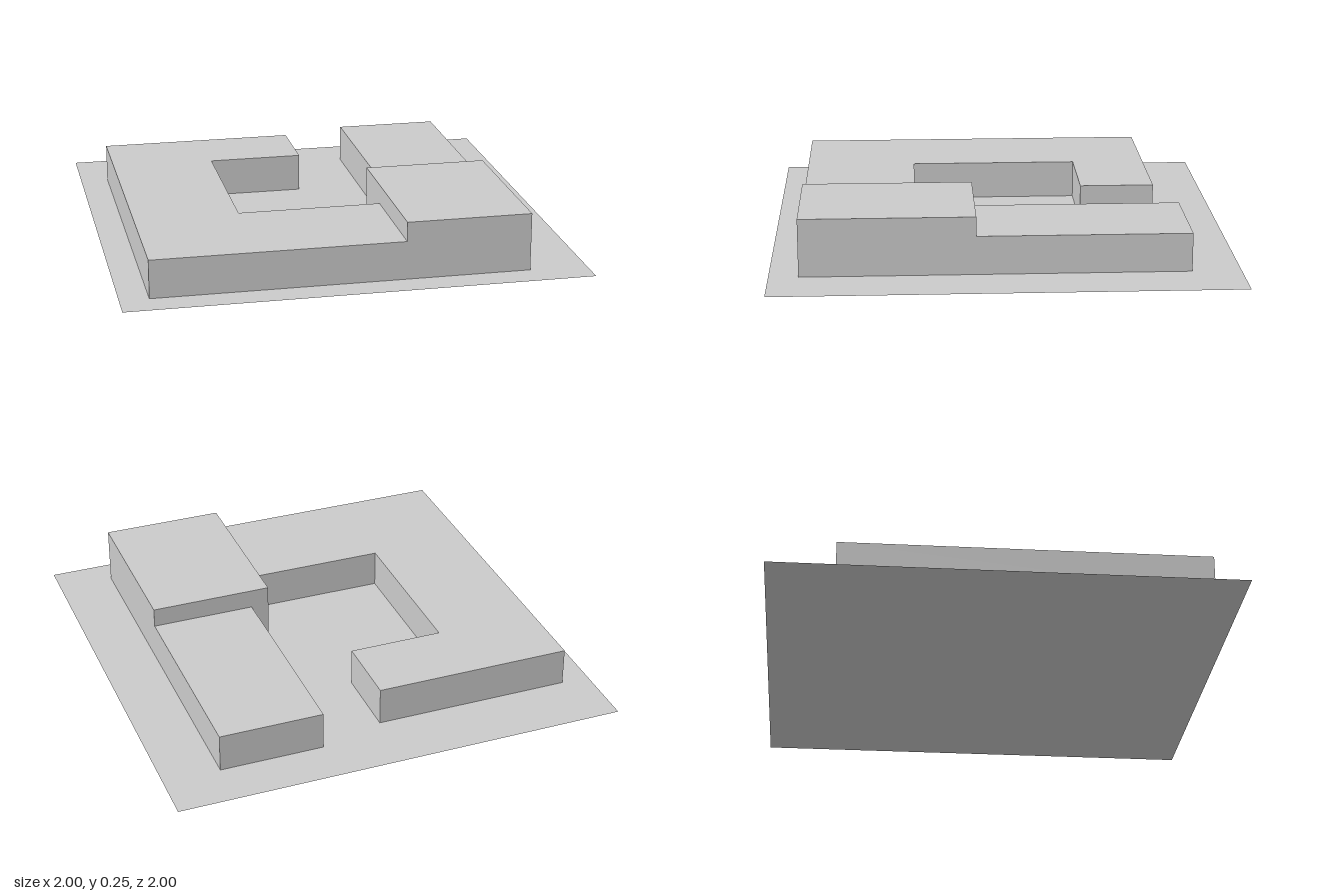
import * as THREE from 'three';

const material = new THREE.MeshStandardMaterial({ color: 0xcccccc, flatShading: true });
const groundMaterial = new THREE.MeshStandardMaterial({ color: 0xcccccc, side: THREE.DoubleSide });

// Raises a block of the given height from a floor plan of [x, z] corners
function block(name, plan, height) {
  const shape = new THREE.Shape(plan.map(([x, z]) => new THREE.Vector2(x, -z)));
  const geometry = new THREE.ExtrudeGeometry(shape, { depth: height, bevelEnabled: false });
  geometry.rotateX(-Math.PI / 2);
  const mesh = new THREE.Mesh(geometry, material);
  mesh.name = name;
  return mesh;
}

const rectangle = (x0, x1, z0, z1) => [[x0, z0], [x0, z1], [x1, z1], [x1, z0]];

export function createModel() {
  const model = new THREE.Group();
  model.name = 'courtyardBuilding';

  // Flat square plot
  const ground = new THREE.Mesh(new THREE.PlaneGeometry(2, 2).rotateX(-Math.PI / 2), groundMaterial);
  ground.name = 'ground';

  const low = 0.168;
  const high = 0.253;

  model.add(
    ground,
    // C-shaped wing around the courtyard
    block('courtyardWing', [
      [-0.875, -0.71], [-0.875, 0.873], [0.21, 0.873], [0.21, 0.375],
      [-0.418, 0.375], [-0.418, -0.378], [0, -0.378], [0, -0.71],
    ], low),
    // Long wing along the left side
    block('sideWing', rectangle(0.29, 0.75, -0.79, 0.125), low),
    // Taller block at the front corner
    block('cornerBlock', rectangle(0.21, 0.75, 0.125, 0.873), high),
  );
  return model;
}
